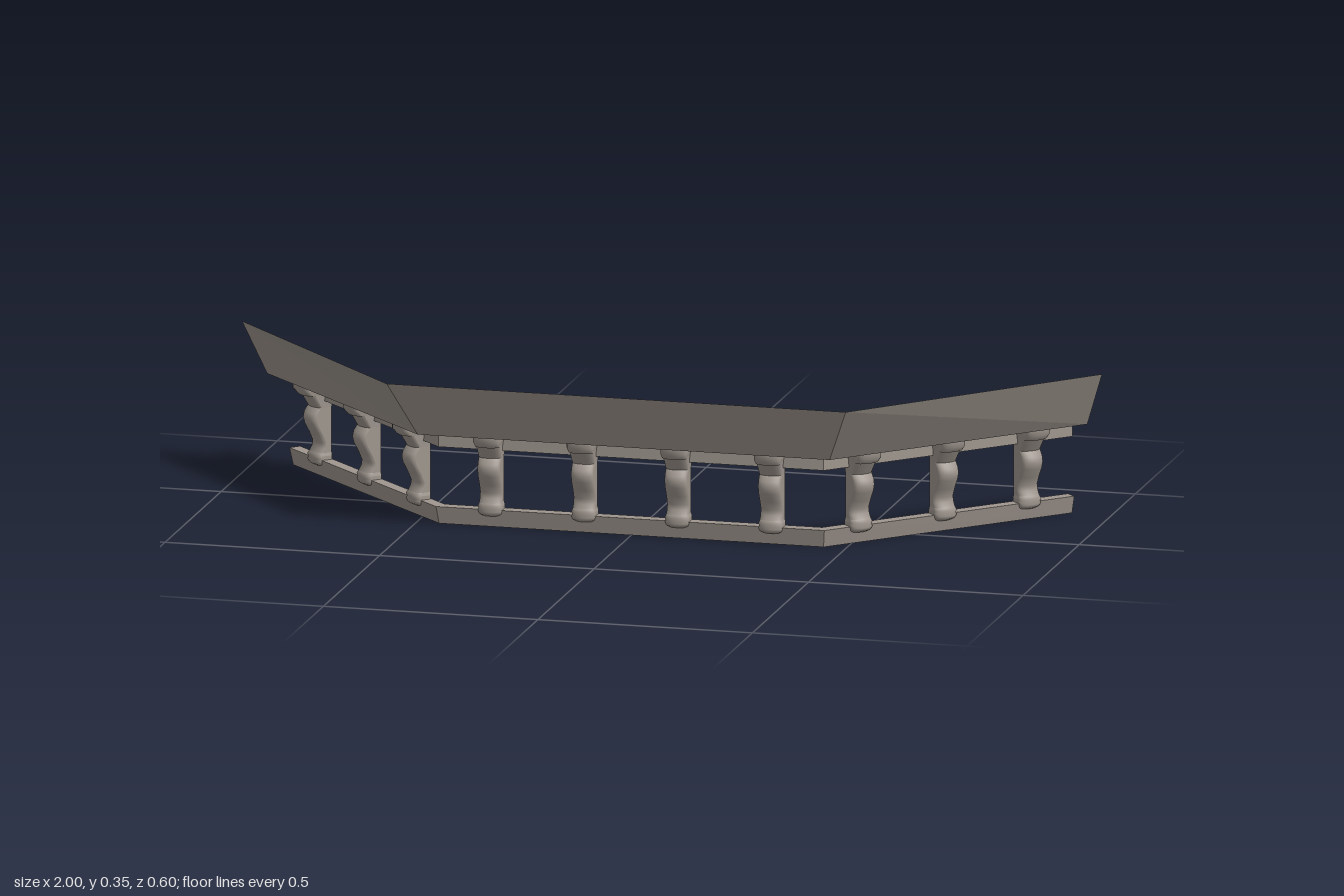
import * as THREE from 'three';

const stone = new THREE.MeshStandardMaterial({ color: 0xa0978f, side: THREE.DoubleSide });
stone.name = 'stone';

// Joins rows of points (top to bottom, each running left to right) into a surface
function skin(rows, smooth) {
  const pos = [], index = [];
  const n = rows[0].length;
  rows.forEach(row => row.forEach(p => pos.push(...p)));
  for (let i = 0; i < rows.length - 1; i++) {
    for (let j = 0; j < n - 1; j++) {
      const a = i * n + j, b = a + n;
      index.push(a, b, b + 1, a, b + 1, a + 1);
    }
  }
  let geo = new THREE.BufferGeometry();
  geo.setAttribute('position', new THREE.Float32BufferAttribute(pos, 3));
  geo.setIndex(index);
  if (!smooth) geo = geo.toNonIndexed();
  geo.computeVertexNormals();
  return geo;
}

function addMesh(parent, name, geo) {
  const mesh = new THREE.Mesh(geo, stone);
  mesh.name = name;
  parent.add(mesh);
}

const BACK = 0.15; // open back plane of the front run

// Sweeps a [z, y, cornerX?] profile around the three-sided plan
function sweep(profile) {
  return skin(profile.map(([z, y, corner]) => {
    const d = z - BACK;
    const cx = corner ?? 0.44 + 0.45 * d;
    const ex = 0.895 + d * Math.SQRT1_2, ez = -0.302 + d * Math.SQRT1_2;
    return [[-ex, y, ez], [-cx, y, z], [cx, y, z], [ex, y, ez]];
  }), false);
}

// Baluster pieces: rows of [y, front z, half width]
const balusterParts = {
  balusterCap: [[0.22, 0.226, 0.03], [0.205, 0.226, 0.03], [0.193, 0.216, 0.028]],
  balusterNeck: [[0.193, 0.208, 0.028], [0.163, 0.19, 0.026]],
  balusterShaft: [[0.163, 0.19, 0.026], [0.15, 0.2, 0.026], [0.137, 0.203, 0.026], [0.122, 0.199, 0.026],
    [0.1, 0.187, 0.026], [0.08, 0.178, 0.026], [0.068, 0.18, 0.026], [0.057, 0.186, 0.026]],
  balusterFoot: [[0.057, 0.186, 0.026], [0.05, 0.191, 0.028], [0.043, 0.188, 0.028], [0.038, 0.191, 0.028],
    [0.031, 0.187, 0.026], [0.026, 0.178, 0.022]],
};
const BULGE = 0.014, ARC = 10;

// Rounded front and the two flat sides of each piece
const balusterGeos = Object.entries(balusterParts).map(([name, rows]) => ({
  name,
  front: skin(rows.map(([y, z, w]) => Array.from({ length: ARC + 1 }, (_, k) => {
    const a = Math.PI * (1 - k / ARC);
    return [w * Math.cos(a), y, z - BULGE + BULGE * Math.sin(a)];
  })), true),
  left: skin(rows.map(([y, z, w]) => [[w, y, z - BULGE], [w, y, BACK]]), false),
  right: skin(rows.map(([y, z, w]) => [[-w, y, BACK], [-w, y, z - BULGE]]), false),
}));

function makeBaluster(x, z) {
  const group = new THREE.Group();
  group.name = 'baluster';
  for (const g of balusterGeos) {
    addMesh(group, g.name, g.front);
    addMesh(group, g.name + 'LeftSide', g.left);
    addMesh(group, g.name + 'RightSide', g.right);
  }
  group.position.set(x, 0, z);
  return group;
}

export function createModel() {
  const model = new THREE.Group();
  model.name = 'balustrade';

  // Flared coping, its soffit and the upper rail below it
  addMesh(model, 'coping', sweep([[0.302, 0.35, 0.535], [0.236, 0.22, 0.48]]));
  addMesh(model, 'soffit', sweep([[0.236, 0.22, 0.48], [0.17, 0.22]]));
  addMesh(model, 'upperRail', sweep([[0.17, 0.22], [0.17, 0.178], [BACK, 0.178]]));

  // Base rail, leaning slightly outward
  addMesh(model, 'baseRail', sweep([[BACK, 0.041], [0.178, 0.041], [0.168, 0], [BACK, 0]]));

  // Balusters of the front run
  for (let i = 0; i < 4; i++) model.add(makeBaluster(-0.327 + i * 0.218, 0));

  // Balusters of the two angled wings
  for (const side of [-1, 1]) {
    const wing = new THREE.Group();
    wing.name = side > 0 ? 'leftWingBalusters' : 'rightWingBalusters';
    for (const t of [0.29, 0.51, 0.73]) wing.add(makeBaluster(side * t, 0.27));
    wing.rotation.y = side * Math.PI / 4;
    model.add(wing);
  }
  return model;
}
